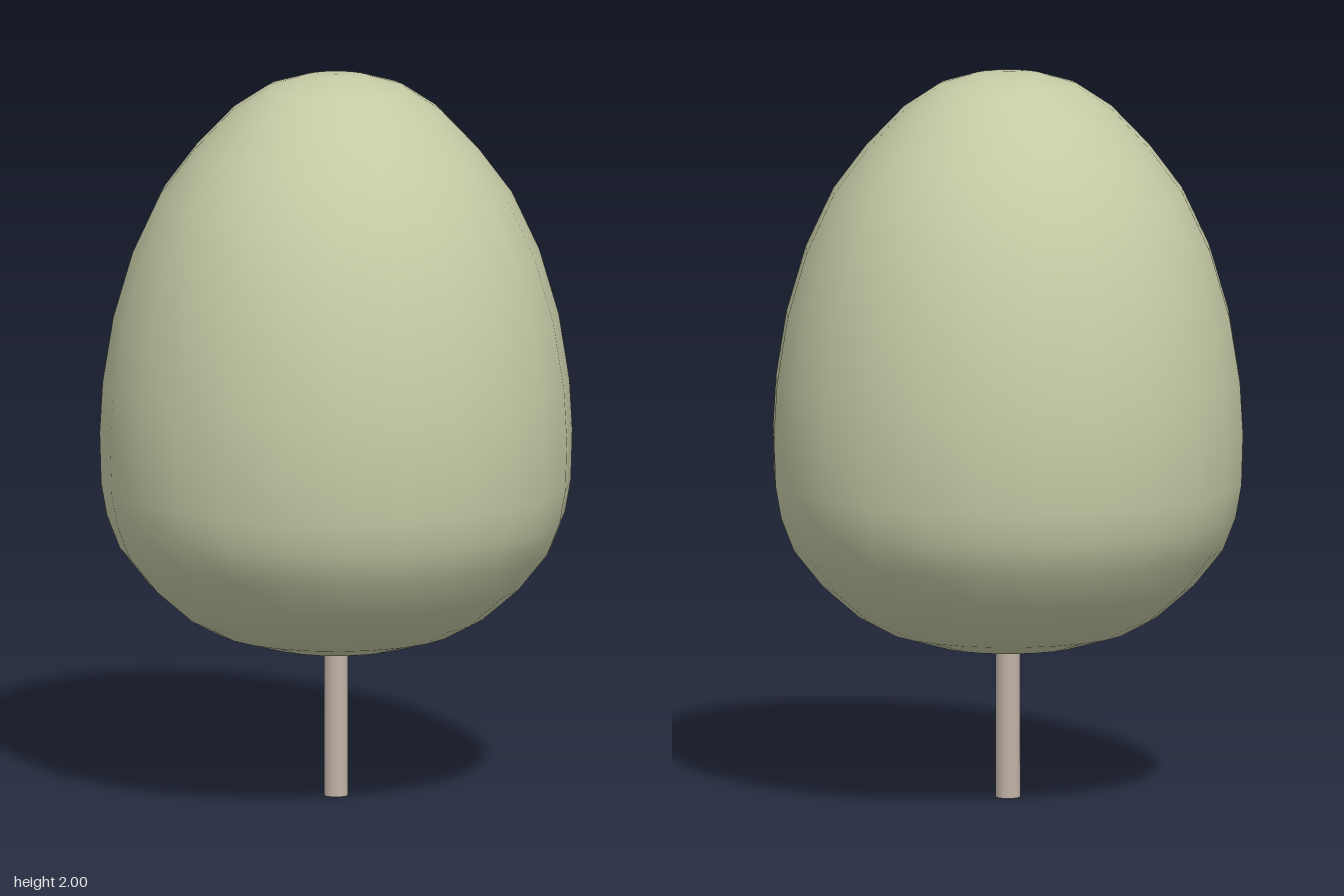
import * as THREE from 'three';

export function createModel() {
  const tree = new THREE.Group();
  tree.name = 'tree';

  // Egg-shaped crown: profile [radius, height] from bottom to top
  const profile = [
    [0, 0.4], [0.2, 0.423], [0.33, 0.46], [0.41, 0.503], [0.51, 0.59],
    [0.59, 0.69], [0.625, 0.78], [0.641, 0.87], [0.645, 1.01], [0.637, 1.15],
    [0.608, 1.33], [0.555, 1.51], [0.48, 1.67], [0.39, 1.79], [0.285, 1.9],
    [0.19, 1.963], [0.1, 1.99], [0, 2],
  ].map(([r, y]) => new THREE.Vector2(r, y));
  const crown = new THREE.Mesh(
    new THREE.LatheGeometry(profile, 24),
    new THREE.MeshStandardMaterial({ color: 0xc5caa5 })
  );
  crown.name = 'crown';
  tree.add(crown);

  // Slim trunk, reaching slightly into the crown
  const trunk = new THREE.Mesh(
    new THREE.CylinderGeometry(0.034, 0.034, 0.45, 12),
    new THREE.MeshStandardMaterial({ color: 0xc0b4a8 })
  );
  trunk.name = 'trunk';
  trunk.position.y = 0.225;
  tree.add(trunk);

  return tree;
}
